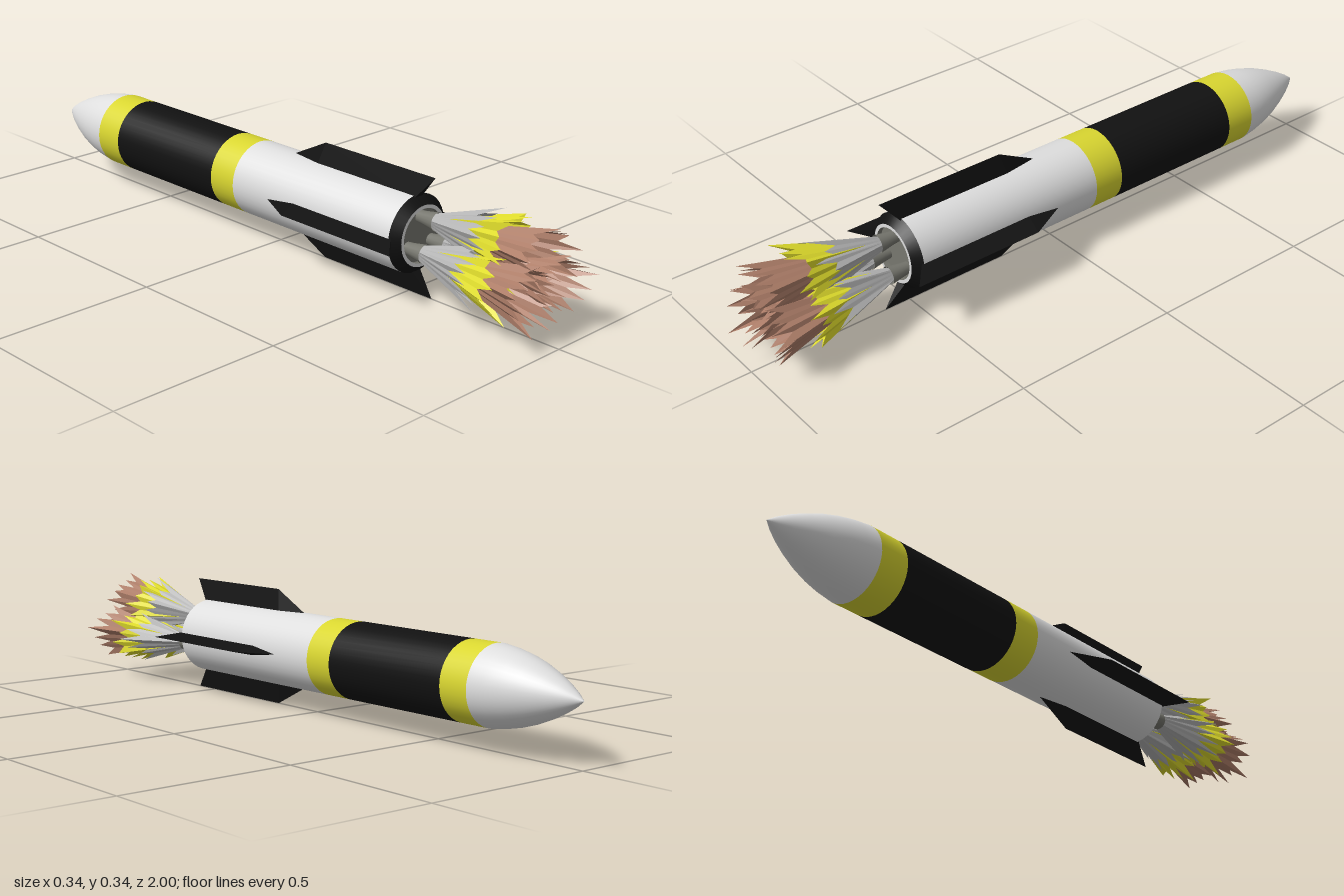
import * as THREE from 'three';

const AXIS_Y = 0.172, R = 0.11;

function makeMaterial(name, color, options = {}) {
  const m = new THREE.MeshStandardMaterial({ color, ...options });
  m.name = name;
  return m;
}

// Small seeded random generator for the ragged flame edges
function seeded(seed) {
  let s = seed;
  return () => (s = (s * 16807) % 2147483647) / 2147483647;
}

// Surface of revolution about the z axis from [radius, z] pairs
function turned(points, segments = 40) {
  const g = new THREE.LatheGeometry(points.map(([r, z]) => new THREE.Vector2(r, z)), segments);
  return g.rotateX(Math.PI / 2);
}

function fromTriangles(points) {
  const g = new THREE.BufferGeometry().setFromPoints(points);
  g.computeVertexNormals();
  return g;
}

// Wedge fin: thick at the root, sharp at the outer edge
function finGeometry() {
  const v = (x, y, z) => new THREE.Vector3(x, y, z);
  const root = 0.1, tip = 0.17, t = 0.016;
  const lead = v(0, root, 0.04), a = v(0, tip, 0.18), b = v(0, tip, 0.58);
  const m = s => v(s * t, root, 0.16), n = s => v(s * t, root, 0.52);
  const right = [lead, a, m(1), a, b, n(1), a, n(1), m(1)];
  const left = [lead, m(-1), a, a, n(-1), b, a, m(-1), n(-1)];
  return fromTriangles([...right, ...left, n(1), b, n(-1)]);
}

// Five-sided flaring cone with a ragged, toothed rim
function flameGeometry({ z0, r0, zNotch, zTip, rTip, drift, seed, turn }) {
  const rand = seeded(seed), sides = 5, count = sides * 6, sector = 2 * Math.PI / sides;
  const point = (i, z, spread) => {
    const a = i / count * 2 * Math.PI;
    const f = Math.cos(sector / 2) / Math.cos((a % sector) - sector / 2);
    const k = (z - z0) / (zTip - z0);
    const r = (r0 + (rTip - r0) * k) * f * spread;
    return new THREE.Vector3(Math.cos(a + turn) * r, Math.sin(a + turn) * r + drift * k, z);
  };
  const base = [], rim = [];
  for (let i = 0; i < count; i++) {
    const jitter = rand();
    const z = i % 2 ? zNotch + 0.03 * (jitter - 0.5) : zTip - 0.05 * jitter;
    base.push(point(i, z0, 1));
    rim.push(point(i, z, i % 2 ? 1 : 1 + 0.12 * rand()));
  }
  const tris = [];
  for (let i = 0; i < count; i++) {
    const j = (i + 1) % count;
    tris.push(base[i], base[j], rim[j], base[i], rim[j], rim[i]);
  }
  return fromTriangles(tris);
}

export function createModel() {
  const both = { side: THREE.DoubleSide };
  const white = makeMaterial('white paint', 0xdedede);
  const black = makeMaterial('black paint', 0x111111);
  const yellow = makeMaterial('yellow paint', 0xd9d630);
  const metal = makeMaterial('nozzle metal', 0x77776f, both);
  const smoke = makeMaterial('grey flame', 0xb4b4b4, { ...both, flatShading: true });
  const hot = makeMaterial('yellow flame', 0xdfdc2c, { ...both, flatShading: true });
  const brown = makeMaterial('brown flame', 0xae7e69, { ...both, flatShading: true });

  const model = new THREE.Group();
  model.name = 'rocket';
  const rocket = new THREE.Group();
  rocket.name = 'rocketAssembly';
  rocket.position.y = AXIS_Y;
  model.add(rocket);
  const add = (parent, name, geometry, material) => {
    const mesh = new THREE.Mesh(geometry, material);
    mesh.name = name;
    parent.add(mesh);
    return mesh;
  };

  // Pointed nose
  const ogive = [[0, -1], [0.02, -0.973], [0.04, -0.939], [0.06, -0.898], [0.08, -0.849],
    [0.094, -0.803], [0.104, -0.757], [R, -0.71]];
  add(rocket, 'noseCone', turned(ogive), white);

  // Painted sections of the hull
  const sections = [
    ['frontYellowBand', -0.71, -0.615, yellow],
    ['blackSection', -0.615, -0.18, black],
    ['rearYellowBand', -0.18, -0.085, yellow],
    ['whiteSection', -0.085, 0.52, white],
  ];
  for (const [name, a, b, mat] of sections) add(rocket, name, turned([[R, a], [R, b]]), mat);

  // Tail: black bevel, pale ring and engine plate
  add(rocket, 'tailBevel', turned([[R, 0.52], [0.086, 0.545]]), black);
  add(rocket, 'tailRing', turned([[0.086, 0.545], [0.076, 0.545]]), white);
  add(rocket, 'tailRecess', turned([[0.076, 0.545], [0.076, 0.53]]), metal);
  add(rocket, 'enginePlate', turned([[0.076, 0.53], [0, 0.53]]), metal);

  // Four fins
  const fin = finGeometry();
  for (let i = 0; i < 4; i++) add(rocket, 'fin' + (i + 1), fin, black).rotation.z = i * Math.PI / 2;

  // Three engines, each with a nozzle and layered flames
  for (let i = 0; i < 3; i++) {
    const spoke = new THREE.Group();
    spoke.name = 'engine' + (i + 1);
    spoke.rotation.z = i * 2 * Math.PI / 3;
    const engine = new THREE.Group();
    engine.name = 'engineParts';
    engine.position.y = 0.052;
    spoke.add(engine);
    rocket.add(spoke);

    add(engine, 'nozzle', turned([[0.017, 0.53], [0.019, 0.55], [0.026, 0.592]], 16), metal);
    const turn = Math.PI / 2 + i * 0.25, drift = 0.012;
    add(engine, 'greyFlame', flameGeometry({ z0: 0.585, r0: 0.022, zNotch: 0.735, zTip: 0.815,
      rTip: 0.085, drift, seed: 11 + i * 97, turn }), smoke);
    add(engine, 'yellowFlame', flameGeometry({ z0: 0.585, r0: 0.015, zNotch: 0.825, zTip: 0.885,
      rTip: 0.09, drift, seed: 501 + i * 89, turn: turn + 0.6 }), hot);
    add(engine, 'brownFlame', flameGeometry({ z0: 0.585, r0: 0.001, zNotch: 0.925, zTip: 1,
      rTip: 0.088, drift, seed: 907 + i * 71, turn: turn + 0.2 }), brown);
  }
  return model;
}
